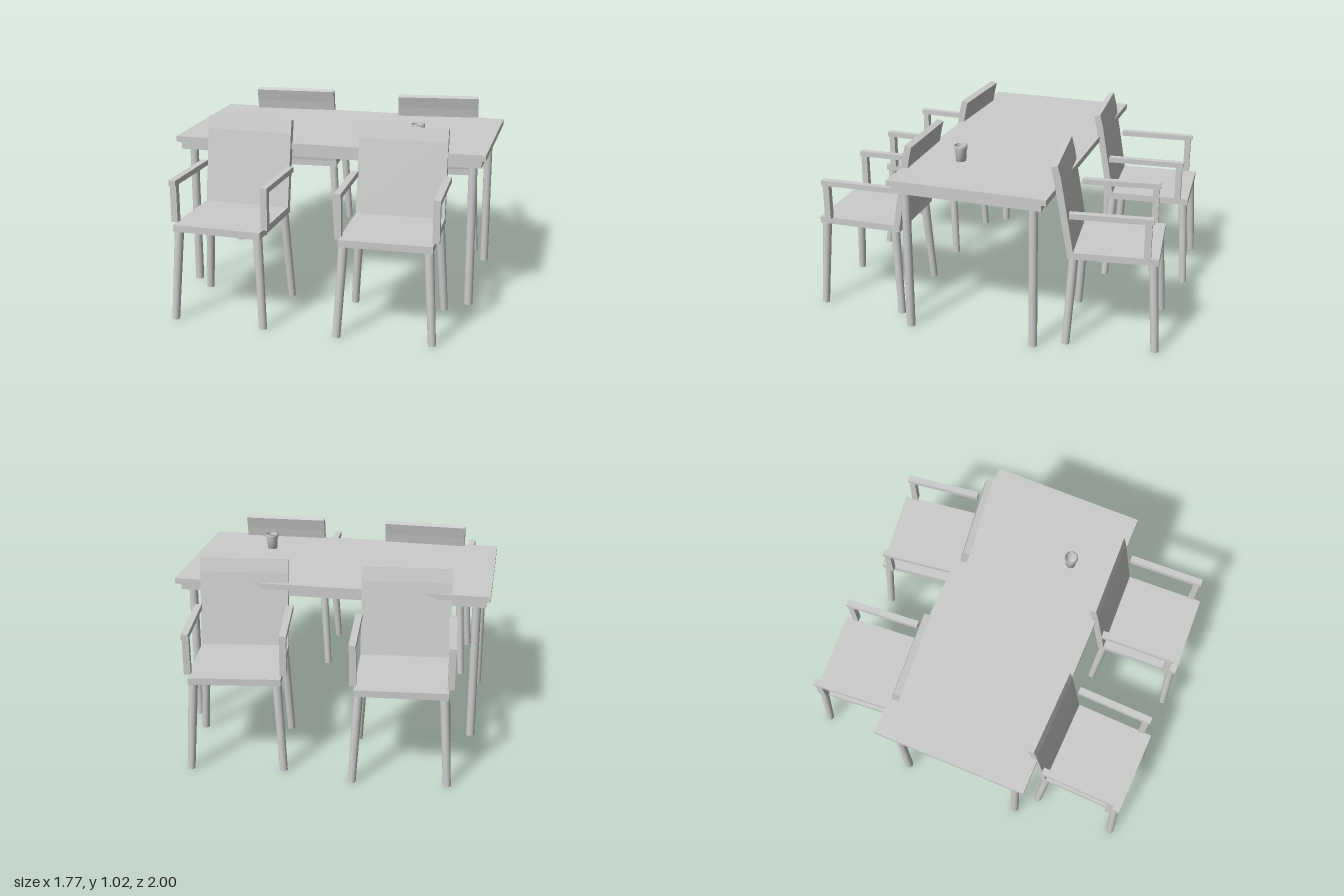
import * as THREE from 'three';

const grey = new THREE.MeshStandardMaterial({ color: 0xcccccc });
grey.name = 'light grey';

function add(parent, geometry, name, x = 0, y = 0, z = 0) {
  const mesh = new THREE.Mesh(geometry, grey);
  mesh.name = name;
  mesh.position.set(x, y, z);
  parent.add(mesh);
  return mesh;
}

// Tapered round leg running from a foot point up to a top point
function addLeg(parent, name, foot, top, rFoot, rTop) {
  const dir = top.clone().sub(foot);
  const mid = foot.clone().add(top).multiplyScalar(0.5);
  const leg = add(parent, new THREE.CylinderGeometry(rTop, rFoot, dir.length(), 24), name, mid.x, mid.y, mid.z);
  leg.quaternion.setFromUnitVectors(new THREE.Vector3(0, 1, 0), dir.normalize());
}

// Armchair facing +z, with its origin on the floor under the seat
function createChair(name) {
  const chair = new THREE.Group();
  chair.name = name;
  add(chair, new THREE.BoxGeometry(0.49, 0.038, 0.486), 'seat', 0, 0.518, -0.002);

  // Leaning backrest, bent slightly further back near the top
  const profile = new THREE.Shape([
    [-0.211, 0.537], [-0.247, 0.537], [-0.318, 0.94], [-0.334, 1.007], [-0.298, 1.017], [-0.28, 0.945],
  ].map(([z, y]) => new THREE.Vector2(z, y)));
  const back = new THREE.ExtrudeGeometry(profile, { depth: 0.49, bevelEnabled: false });
  back.rotateY(-Math.PI / 2).translate(0.245, 0, 0);
  add(chair, back, 'backrest');

  for (const side of [-1, 1]) {
    const label = side > 0 ? 'left' : 'right';
    add(chair, new THREE.BoxGeometry(0.038, 0.03, 0.438), label + 'Armrest', side * 0.256, 0.755, -0.013);
    add(chair, new THREE.BoxGeometry(0.036, 0.204, 0.036), label + 'ArmPost', side * 0.254, 0.64, 0.18);
    for (const end of [-1, 1]) {
      addLeg(chair, label + (end > 0 ? 'FrontLeg' : 'BackLeg'),
        new THREE.Vector3(side * 0.252, 0, end * 0.241),
        new THREE.Vector3(side * 0.222, 0.502, end * 0.21), 0.021, 0.025);
    }
  }
  return chair;
}

function createTable() {
  const table = new THREE.Group();
  table.name = 'table';
  add(table, new THREE.BoxGeometry(1.766, 0.033, 0.886), 'tableTop', 0, 0.87, 0.008);
  add(table, new THREE.BoxGeometry(1.72, 0.045, 0.834), 'tableApron', 0, 0.832, 0.017);
  for (const x of [-0.807, 0.807]) {
    for (const z of [-0.343, 0.374]) {
      add(table, new THREE.CylinderGeometry(0.024, 0.024, 0.81, 24), 'tableLeg', x, 0.405, z);
    }
  }
  return table;
}

export function createModel() {
  const model = new THREE.Group();
  model.name = 'diningSet';
  model.add(createTable());

  // Hollow tapered cup with a thicker rim
  const cup = [[0, 0], [0.028, 0], [0.033, 0.07], [0.038, 0.073], [0.038, 0.09], [0.032, 0.09], [0.024, 0.01], [0, 0.01]];
  add(model, new THREE.LatheGeometry(cup.map(([r, y]) => new THREE.Vector2(r, y)), 32), 'cup', 0.467, 0.886, 0.188);

  // Four chairs: x, z and turn
  const chairs = [
    ['frontRightChair', -0.45, 0.732, -0.03],
    ['frontLeftChair', 0.443, 0.732, 0.03],
    ['backRightChair', -0.451, -0.712, Math.PI + 0.078],
    ['backLeftChair', 0.444, -0.71, Math.PI + 0.13],
  ];
  for (const [name, x, z, turn] of chairs) {
    const chair = createChair(name);
    chair.position.set(x, 0, z);
    chair.rotation.y = turn;
    model.add(chair);
  }
  return model;
}
